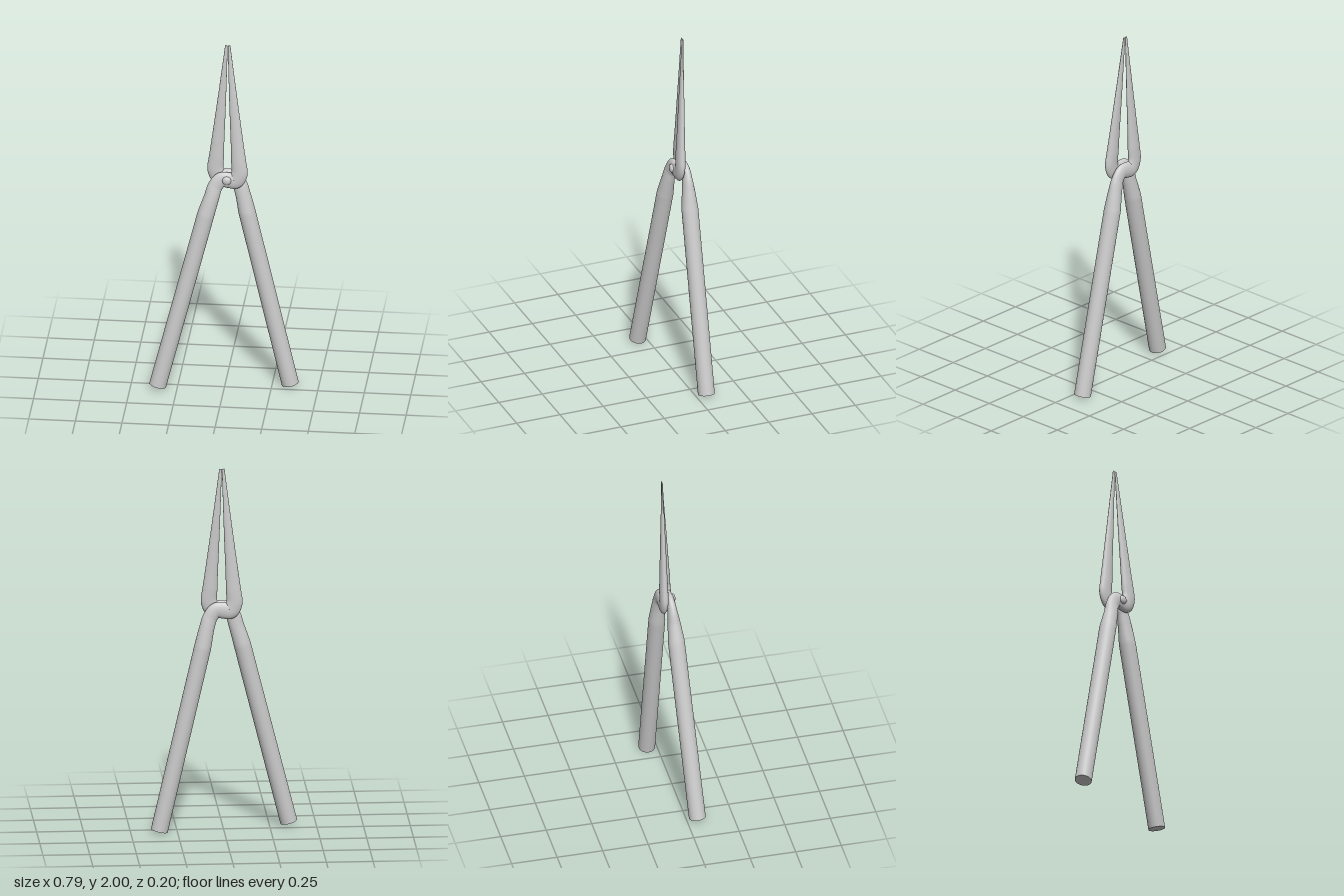
import * as THREE from 'three';

const SIDES = 32, STEPS = 8;

// Sweeps an ellipse along a path; each station is [x, y, z, half width, half depth].
function sweep(stations) {
  const curve = new THREE.CatmullRomCurve3(stations.map(([x, y, z]) => new THREE.Vector3(x, y, z)));
  const spans = stations.length - 1, rings = spans * STEPS;
  const pos = [], index = [];
  const depthAxis = new THREE.Vector3(0, 0, 1);
  const ring = (r) => {
    const t = r / rings, k = Math.min(Math.floor(r / STEPS), spans - 1), f = r / STEPS - k;
    const p = curve.getPoint(t), tan = curve.getTangent(t);
    const u = new THREE.Vector3().crossVectors(tan, depthAxis).normalize();
    const v = new THREE.Vector3().crossVectors(tan, u).normalize();
    const w = THREE.MathUtils.lerp(stations[k][3], stations[k + 1][3], f);
    const d = THREE.MathUtils.lerp(stations[k][4], stations[k + 1][4], f);
    for (let i = 0; i < SIDES; i++) {
      const a = (i / SIDES) * Math.PI * 2;
      const q = p.clone().addScaledVector(u, w * Math.cos(a)).addScaledVector(v, d * Math.sin(a));
      pos.push(q.x, q.y, q.z);
    }
    return p;
  };
  for (let r = 0; r <= rings; r++) ring(r);
  for (let r = 0; r < rings; r++) {
    for (let i = 0; i < SIDES; i++) {
      const a = r * SIDES + i, b = r * SIDES + (i + 1) % SIDES;
      index.push(a, b, a + SIDES, b, b + SIDES, a + SIDES);
    }
  }
  // Flat end caps with their own vertices
  for (const r of [0, rings]) {
    const start = pos.length / 3, c = ring(r), mid = pos.length / 3;
    pos.push(c.x, c.y, c.z);
    for (let i = 0; i < SIDES; i++) {
      const a = start + i, b = start + (i + 1) % SIDES;
      if (r === 0) index.push(mid, b, a);
      else index.push(mid, a, b);
    }
  }
  const geo = new THREE.BufferGeometry();
  geo.setAttribute('position', new THREE.Float32BufferAttribute(pos, 3));
  geo.setIndex(index);
  geo.computeVertexNormals();
  return geo;
}

// Crook and jaw shared by both halves: [offset from pivot axis, y, half width, half depth]
const crook = [
  [-0.082, 1.12, 0.041, 0.034],
  [-0.062, 1.185, 0.04, 0.026],
  [-0.03, 1.222, 0.042, 0.023],
  [0.01, 1.221, 0.045, 0.022],
  [0.045, 1.218, 0.044, 0.022],
  [0.066, 1.26, 0.044, 0.023],
  [0.061, 1.34, 0.04, 0.023],
  [0.033, 1.67, 0.023, 0.013],
  [0.007, 2.0, 0.007, 0.003],
];
const AXIS = 0.012;

// One half: straight handle, then crook and jaw; side mirrors it about the pivot.
function half(foot, knee, side, depths) {
  const handle = [0, 0.5, 0.9, 1].map((t) => [
    ...foot.map((f, i) => THREE.MathUtils.lerp(f, knee[i], t)), 0.046, 0.045,
  ]);
  const rest = crook.map(([x, y, w, d], i) => [AXIS + side * x, y, depths[i], w, d]);
  return sweep([...handle, ...rest]);
}

export function createModel() {
  const group = new THREE.Group();
  const material = new THREE.MeshStandardMaterial({ color: 0xcccccc });
  const add = (name, geometry) => {
    const mesh = new THREE.Mesh(geometry, material);
    mesh.name = name;
    group.add(mesh);
    return mesh;
  };

  add('frontHalf', half([-0.353, 0.022, 0.055], [-0.1, 1.02, 0], 1,
    [-0.005, -0.01, -0.013, -0.013, -0.013, -0.014, -0.018, -0.035, -0.052]));
  add('backHalf', half([0.347, 0.012, -0.055], [0.115, 1.02, -0.055], -1,
    [-0.055, -0.055, -0.056, -0.057, -0.057, -0.057, -0.057, -0.055, -0.052]));

  // Domed rivet head at the pivot
  const rivet = add('pivotRivet', new THREE.SphereGeometry(0.024, 24, 16));
  rivet.scale.z = 0.6;
  rivet.position.set(AXIS, 1.226, 0.007);
  return group;
}
